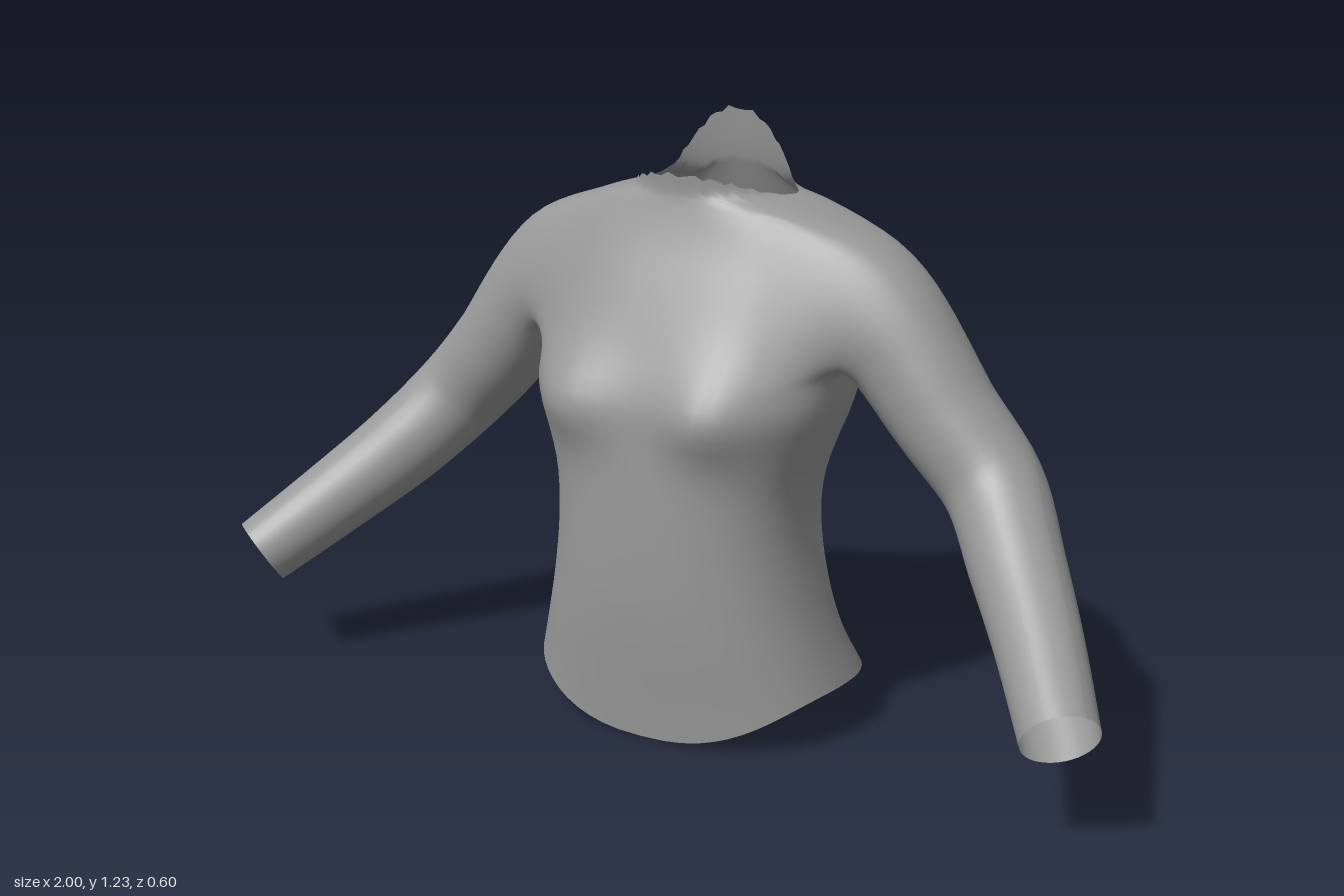
import * as THREE from 'three';

// Torso sections: [height, half width, front z, back z, z of the side seam]
const SECTIONS = [
  [0, .375, .17, -.36, -.06], [.1, .347, .18, -.298, -.06], [.2, .315, .19, -.236, -.04],
  [.3, .29, .197, -.212, -.03], [.42, .272, .2, -.21, -.02], [.52, .275, .2, -.218, -.02],
  [.62, .305, .197, -.24, -.03], [.7, .335, .19, -.268, -.05], [.8, .345, .15, -.292, -.09],
  [.9, .35, .105, -.296, -.11], [.98, .345, .065, -.272, -.12], [1.04, .3, .04, -.245, -.12],
  [1.065, .235, .034, -.232, -.12], [1.085, .165, .03, -.222, -.12],
  [1.14, .15, .033, -.205, -.12], [1.23, .14, .035, -.19, -.12],
];
// Sleeve centre line: [x, y, z, radius]
const ARM = [
  [.415, .83, -.1, .12], [.525, .69, -.098, .106], [.635, .57, -.088, .099],
  [.73, .455, 0, .092], [.83, .35, .11, .083], [.935, .24, .242, .074],
];
const COLS = 64, HALF = 8, LOW = 22, HIGH = 34, ROWS = 42; // armhole: rows LOW..HIGH, columns +-HALF

// Smooth interpolation between torso sections
function section(y) {
  const n = SECTIONS.length;
  let k = 0;
  while (k < n - 2 && SECTIONS[k + 1][0] < y) k++;
  const at = (i) => SECTIONS[Math.min(n - 1, Math.max(0, i))];
  const p = at(k - 1), a = at(k), b = at(k + 1), q = at(k + 2), h = b[0] - a[0];
  const t = THREE.MathUtils.clamp((y - a[0]) / h, 0, 1);
  return [1, 2, 3, 4].map((c) => {
    const ma = (b[c] - p[c]) / (b[0] - p[0]) * h, mb = (q[c] - a[c]) / (q[0] - a[0]) * h;
    return (1 + 2 * t) * (1 - t) ** 2 * a[c] + t * (1 - t) ** 2 * ma
      + t * t * (3 - 2 * t) * b[c] + t * t * (t - 1) * mb;
  });
}

const bell = (d, s) => Math.exp(-((d / s) ** 2));

function torsoPoint(row, col) {
  const angle = col / COLS * Math.PI * 2, c = Math.cos(angle), s = Math.sin(angle), d = Math.abs(s);
  // curved hem and ragged neckline
  const hem = .112 - (s > 0 ? .112 * d ** 2.7 : .015 * d * d);
  const neck = 1.08 + (s > 0 ? .042 * d ** 1.5 : .145 * d ** 2.4) + .005 * d * Math.sin(col * 2.3);
  let y = row <= LOW ? .1 + .64 * row / LOW
    : row <= HIGH ? .74 + .3 * (row - LOW) / (HIGH - LOW) : 1.04 + .04 * (row - HIGH) / (ROWS - HIGH);
  if (y < .5) y = hem + (y - .1) / .4 * (.5 - hem);
  if (y > 1) y = 1 + (y - 1) / .08 * (neck - 1);
  const [w, front, back, side] = section(y);
  const x = w * Math.sign(c) * Math.abs(c) ** .833;
  let z = side + ((s > 0 ? front : back) - side) * d ** .833;
  if (s > 0) { // bust
    z += .045 * d * bell(Math.abs(x) - .175, .1) * bell(y - .68, y < .68 ? .075 : .11);
  } else { // spine groove and shoulder blades
    z += .03 * d * bell(x, .055) * bell(y - .65, .32);
    z -= .014 * d * bell(Math.abs(x) - .16, .09) * bell(y - .86, .16);
  }
  return new THREE.Vector3(x, y, z);
}

function topGeometry() {
  const pts = [], index = [];
  const quad = (a, b, c, d, flip) => index.push(...(flip ? [a, c, b, a, d, c] : [a, b, c, a, c, d]));
  const id = (row, col) => row * COLS + (col + COLS) % COLS;

  // torso, leaving out the armholes
  for (let r = 0; r <= ROWS; r++) for (let i = 0; i < COLS; i++) pts.push(torsoPoint(r, i));
  const inHole = (r, i) => {
    const k = (i + COLS / 4) % (COLS / 2) - COLS / 4;
    return r >= LOW && r < HIGH && k >= -HALF && k < HALF;
  };
  for (let r = 0; r < ROWS; r++) for (let i = 0; i < COLS; i++) {
    if (!inHole(r, i)) quad(id(r, i), id(r + 1, i), id(r + 1, i + 1), id(r, i + 1));
  }

  // sleeves, grown out of the armhole edges
  const path = new THREE.CatmullRomCurve3(ARM.map((p) => new THREE.Vector3(p[0], p[1], p[2])));
  const radius = (t) => {
    const f = t * (ARM.length - 1), k = Math.min(ARM.length - 2, Math.floor(f));
    return THREE.MathUtils.lerp(ARM[k][3], ARM[k + 1][3], f - k);
  };
  const sleevePoint = (t, a) => {
    const dir = path.getTangent(t), up = new THREE.Vector3(0, 1, 0).addScaledVector(dir, -dir.y).normalize();
    const side = new THREE.Vector3().crossVectors(dir, up), r = radius(t);
    return path.getPoint(t).addScaledVector(up, r * Math.cos(a)).addScaledVector(side, r * Math.sin(a));
  };
  for (const sign of [1, -1]) {
    const edge = (r, k) => id(r, sign > 0 ? k : COLS / 2 - k);
    let ring = [];
    for (let k = -HALF; k < HALF; k++) ring.push(edge(LOW, k));
    for (let r = LOW; r < HIGH; r++) ring.push(edge(r, HALF));
    for (let k = HALF; k > -HALF; k--) ring.push(edge(HIGH, k));
    for (let r = HIGH; r > LOW; r--) ring.push(edge(r, -HALF));
    const start = ring.map((v) => pts[v].clone().multiply(new THREE.Vector3(sign, 1, 1)));
    const angles = start.map((p) => Math.atan2(p.z + .1, p.y - .89));
    const BLEND = 7, ALONG = 30;
    for (let n = 1; n <= BLEND + ALONG; n++) {
      const t = Math.min(1, n / BLEND);
      const next = angles.map((a, j) => {
        const p = sleevePoint(Math.max(0, (n - BLEND) / ALONG), a);
        if (t < 1) { // rounded shoulder cap
          p.lerpVectors(start[j], p, t);
          const bulge = .035 * Math.sin(Math.PI * t) * Math.max(0, Math.cos(a));
          p.x += bulge * .6;
          p.y += bulge * .8;
        }
        p.x *= sign;
        return pts.push(p) - 1;
      });
      for (let j = 0; j < ring.length; j++) {
        const m = (j + 1) % ring.length;
        quad(ring[j], next[j], next[m], ring[m], sign < 0);
      }
      ring = next;
    }
  }

  // relax the surface around the shoulder joints
  const near = pts.map(() => new Set());
  for (let i = 0; i < index.length; i += 3) for (let a = 0; a < 3; a++) {
    near[index[i + a]].add(index[i + (a + 1) % 3]).add(index[i + (a + 2) % 3]);
  }
  const weight = pts.map((p) => 1 - THREE.MathUtils.smoothstep(
    Math.hypot(Math.abs(p.x) - .35, p.y - .88, p.z + .1), .17, .25));
  for (let pass = 0; pass < 7; pass++) {
    const means = pts.map((p, i) => {
      const m = new THREE.Vector3();
      if (weight[i] > 0) near[i].forEach((k) => m.add(pts[k]));
      return m.divideScalar(near[i].size || 1);
    });
    pts.forEach((p, i) => { if (weight[i] > 0 && near[i].size) p.lerp(means[i], .6 * weight[i]); });
  }

  const geometry = new THREE.BufferGeometry().setFromPoints(pts);
  geometry.setIndex(index);
  geometry.computeVertexNormals();
  return geometry;
}

export function createModel() {
  const fabric = new THREE.MeshStandardMaterial({ color: 0x999999, side: THREE.DoubleSide });
  fabric.name = 'grey fabric';
  const top = new THREE.Mesh(topGeometry(), fabric);
  top.name = 'longSleevedTop';
  const group = new THREE.Group();
  group.name = 'garment';
  group.add(top);
  return group;
}
